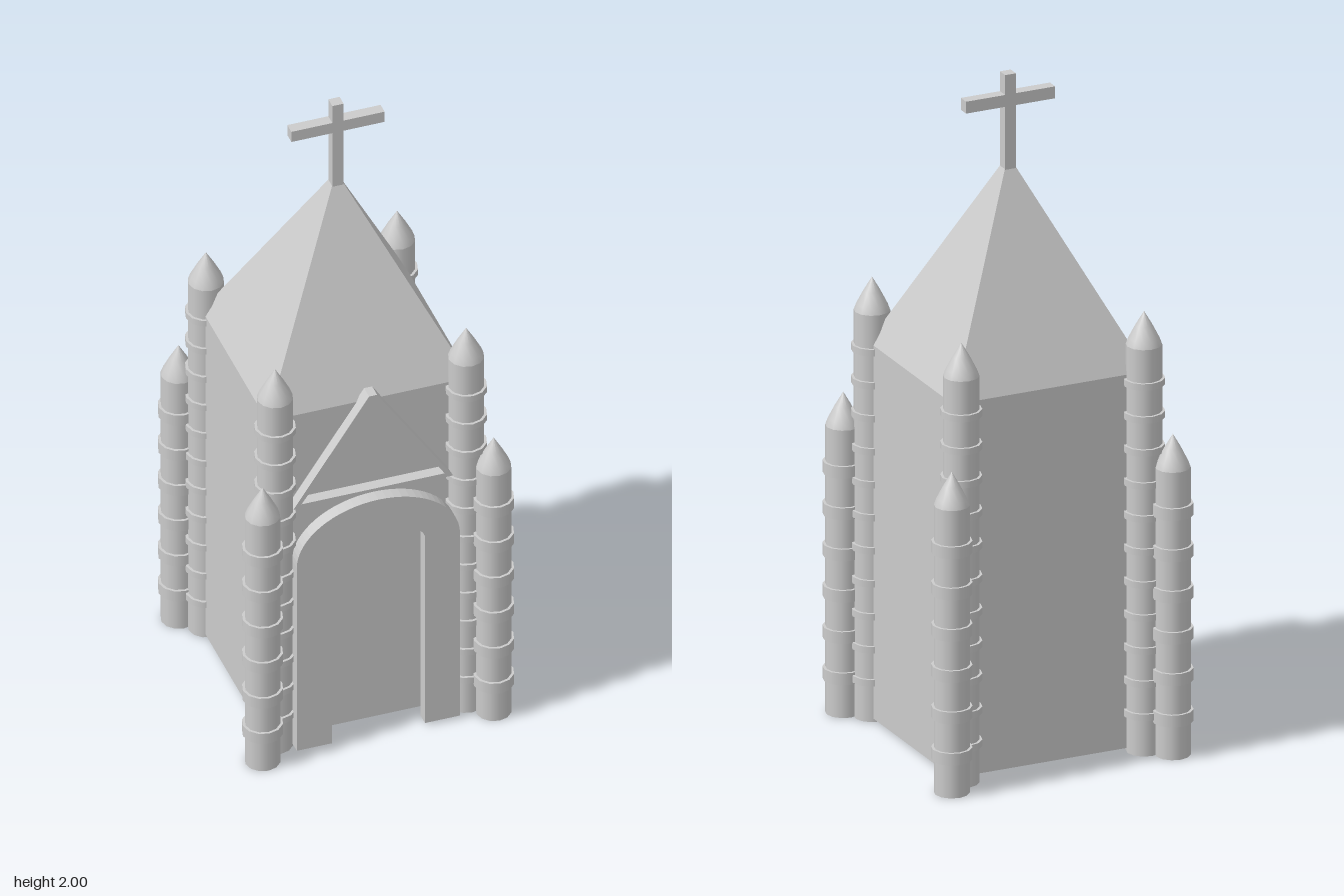
import * as THREE from 'three';

const mat = new THREE.MeshStandardMaterial({ color: 0xcccccc });
const flat = new THREE.MeshStandardMaterial({ color: 0xcccccc, flatShading: true });

function add(parent, name, geometry, x = 0, y = 0, z = 0, material = flat) {
  const mesh = new THREE.Mesh(geometry, material);
  mesh.name = name;
  mesh.position.set(x, y, z);
  parent.add(mesh);
  return mesh;
}

function box(parent, name, w, h, d, x, y, z) {
  return add(parent, name, new THREE.BoxGeometry(w, h, d), x, y, z);
}

// Round pinnacle with a pointed cap and evenly spaced raised bands
function pinnacle(name, radius, shoulder, top, bands, bandHeight, bandRadius) {
  const group = new THREE.Group();
  group.name = name;
  add(group, 'shaft', new THREE.CylinderGeometry(radius, radius, shoulder, 12), 0, shoulder / 2, 0, mat);
  const h = top - shoulder;
  const cap = [[radius, 0], [radius * 0.86, h * 0.2], [radius * 0.48, h * 0.58], [0, h]]
    .map(([r, y]) => new THREE.Vector2(r, y));
  add(group, 'cap', new THREE.LatheGeometry(cap, 12), 0, shoulder, 0, mat);
  for (const y of bands) {
    add(group, 'band', new THREE.CylinderGeometry(bandRadius, bandRadius, bandHeight, 12), 0, y, 0, mat);
  }
  return group;
}

// Door surround outline: straight jambs with a half-elliptical head
function archOutline(target, halfWidth, base, spring, rise) {
  target.moveTo(halfWidth, base);
  target.lineTo(halfWidth, spring);
  target.absellipse(0, spring, halfWidth, rise, 0, Math.PI, false, 0);
  target.lineTo(-halfWidth, base);
  return target;
}

export function createModel() {
  const model = new THREE.Group();
  model.name = 'chapel';

  // Body and steep four-sided roof
  box(model, 'body', 0.61, 1.13, 0.554, 0, 0.575, 0);
  const roof = new THREE.CylinderGeometry(0.017 * Math.SQRT2 / 0.29, Math.SQRT2, 0.575, 4);
  roof.rotateY(Math.PI / 4);
  roof.scale(0.305, 1, 0.277);
  add(model, 'roof', roof, 0, 1.4275, 0);

  // Cross on the roof peak
  box(model, 'crossPost', 0.034, 0.3, 0.034, 0, 1.85, 0);
  box(model, 'crossArm', 0.28, 0.036, 0.034, 0, 1.922, 0);

  // Door surround standing just in front of the wall
  const arch = archOutline(new THREE.Shape(), 0.245, 0.01, 0.66, 0.18);
  // cut the opening by continuing the outline down the inner edge
  arch.lineTo(-0.14, 0.01);
  arch.lineTo(-0.14, 0.675);
  arch.bezierCurveTo(-0.12, 0.75, 0.12, 0.75, 0.14, 0.675);
  arch.lineTo(0.14, 0.01);
  arch.closePath();
  add(model, 'doorArch',
    new THREE.ExtrudeGeometry(arch, { depth: 0.04, bevelEnabled: false, curveSegments: 16 }), 0, 0, 0.316);

  // Triangular gable frame over the door
  const gable = new THREE.Shape([[-0.24, 0.833], [0.24, 0.833], [0.012, 1.178], [-0.012, 1.178]]
    .map(([x, y]) => new THREE.Vector2(x, y)));
  gable.holes.push(new THREE.Path([[-0.215, 0.847], [0, 1.162], [0.215, 0.847]]
    .map(([x, y]) => new THREE.Vector2(x, y))));
  add(model, 'gableFrame',
    new THREE.ExtrudeGeometry(gable, { depth: 0.042, bevelEnabled: false }), 0, 0, 0.27);

  // A tall and a short pinnacle on each corner
  const tallBands = Array.from({ length: 11 }, (_, i) => 0.12 + i * 0.1);
  const shortBands = Array.from({ length: 6 }, (_, i) => 0.12 + i * 0.125);
  for (const sx of [-1, 1]) {
    for (const sz of [-1, 1]) {
      const tall = pinnacle('tallPinnacle', 0.052, 1.23, 1.33, tallBands, 0.02, 0.06);
      tall.position.set(sx * 0.287, 0, sz * 0.29);
      const short = pinnacle('shortPinnacle', 0.051, 0.87, 0.97, shortBands, 0.036, 0.059);
      short.position.set(sx * 0.347, 0, sz * 0.353);
      model.add(tall, short);
    }
  }
  return model;
}
